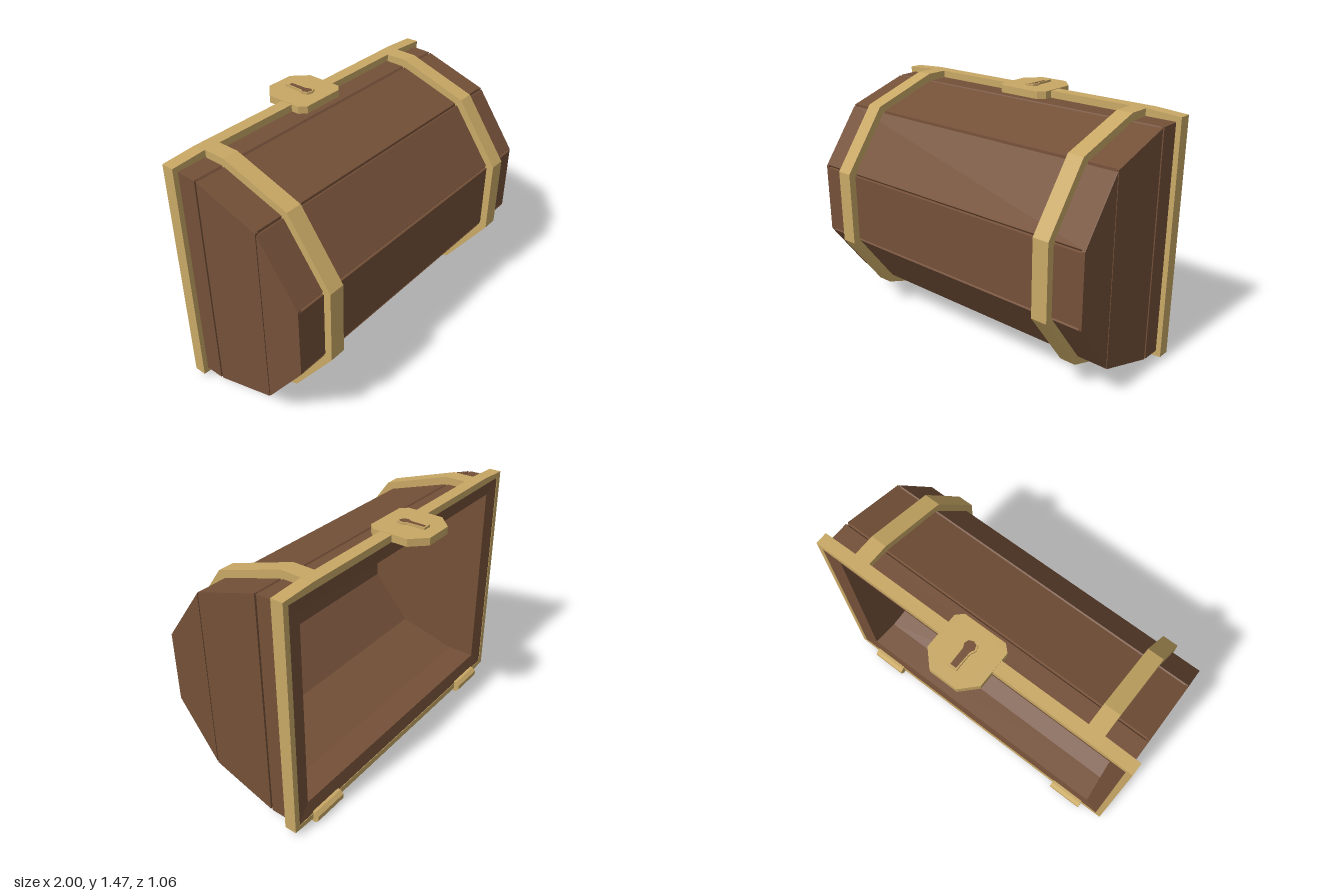
import * as THREE from 'three';

const wood = new THREE.MeshStandardMaterial({ color: 0x745038, side: THREE.DoubleSide });
wood.name = 'brown wood';
const brass = new THREE.MeshStandardMaterial({ color: 0xc8a865 });
brass.name = 'brass';

// Outlines in the side plane as [z, y], from the top rim round the front to the bottom rim
const woodLine = [[-0.3, 1.414], [-0.157, 1.412], [0.238, 1.287], [0.487, 0.948],
  [0.487, 0.532], [0.238, 0.193], [-0.157, 0.066], [-0.3, 0.064]];
const strapLine = [[-0.29, 1.457], [-0.15, 1.457], [0.267, 1.322], [0.53, 0.961],
  [0.53, 0.517], [0.267, 0.158], [-0.15, 0.021], [-0.29, 0.021]];
const innerLine = [[-0.335, 1.33], [-0.17, 1.32], [0.19, 1.21], [0.43, 0.92],
  [0.43, 0.56], [0.19, 0.27], [-0.17, 0.16], [-0.335, 0.15]];
const innerHalf = [0.875, 0.86, 0.835, 0.825, 0.825, 0.835, 0.86, 0.875];

function add(parent, name, geometry, material) {
  const mesh = new THREE.Mesh(geometry, material);
  mesh.name = name;
  parent.add(mesh);
  return mesh;
}

// Flat-shaded surface from four-cornered faces
function quads(list) {
  const pos = [];
  for (const [a, b, c, d] of list) pos.push(...a, ...b, ...c, ...a, ...c, ...d);
  const g = new THREE.BufferGeometry();
  g.setAttribute('position', new THREE.Float32BufferAttribute(pos, 3));
  g.computeVertexNormals();
  return g;
}

// Side-plane outline [z, y] made solid between x0 and x1
function slab(points, x0, x1) {
  const shape = new THREE.Shape(points.map(([z, y]) => new THREE.Vector2(-z, y)));
  const g = new THREE.ExtrudeGeometry(shape, { depth: x1 - x0, bevelEnabled: false });
  return g.rotateY(Math.PI / 2).translate(x0, 0, 0);
}

// Top-plane outline [x, z] made solid between y0 and y1
function plate(points, y0, y1, hole) {
  const toShape = (list, Type) => new Type(list.map(([x, z]) => new THREE.Vector2(x, -z)));
  const shape = toShape(points, THREE.Shape);
  if (hole) shape.holes.push(toShape(hole, THREE.Path));
  const g = new THREE.ExtrudeGeometry(shape, { depth: y1 - y0, bevelEnabled: false });
  return g.rotateX(-Math.PI / 2).translate(0, y0, 0);
}

// Replace every bend by a small V groove between planks
function grooved(line) {
  const out = [line[0]];
  for (let i = 1; i < line.length - 1; i++) {
    const p = new THREE.Vector2(...line[i]);
    const a = new THREE.Vector2(...line[i - 1]).sub(p).setLength(0.009);
    const b = new THREE.Vector2(...line[i + 1]).sub(p).setLength(0.009);
    const inward = new THREE.Vector2(-0.1, 0.74).sub(p).setLength(0.014);
    for (const o of [a, inward, b]) out.push([p.x + o.x, p.y + o.y]);
  }
  out.push(line[line.length - 1]);
  return out;
}

// Keyhole outline, grown by g
function keyhole(g) {
  const pts = [];
  for (let i = 0; i <= 6; i++) {
    const a = THREE.MathUtils.degToRad(-50 + i * 280 / 6);
    pts.push([(0.033 + g) * Math.cos(a), -0.319 + (0.033 + g) * Math.sin(a)]);
  }
  pts.push([-0.018 - g, -0.449 - g], [0.018 + g, -0.449 - g]);
  return pts;
}

export function createModel() {
  const lid = new THREE.Group();
  lid.name = 'chestLid';

  // Outer planks
  const line = grooved(woodLine);
  const outer = [];
  for (let i = 0; i < line.length - 1; i++) {
    const [z0, y0] = line[i], [z1, y1] = line[i + 1];
    outer.push([[-0.965, y0, z0], [-0.965, y1, z1], [0.965, y1, z1], [0.965, y0, z0]]);
  }
  add(lid, 'outerPlanks', quads(outer), wood);

  // End walls: a backing with three upright boards
  const w = woodLine, gap = 0.006;
  const boards = [
    [[-0.3, w[0][1]], [w[1][0] - gap, w[1][1]], [w[6][0] - gap, w[6][1]], [-0.3, w[7][1]]],
    [[w[1][0] + gap, w[1][1] - 0.002], [w[2][0] - gap / 2, w[2][1]], [w[5][0] - gap / 2, w[5][1]], [w[6][0] + gap, w[6][1] + 0.002]],
    [[w[2][0] + gap / 2, w[2][1] - 0.008], [w[3][0] - 0.002, w[3][1]], [w[4][0] - 0.002, w[4][1]], [w[5][0] + gap / 2, w[5][1] + 0.008]],
  ];
  for (const s of [-1, 1]) {
    const end = new THREE.Group();
    end.name = s > 0 ? 'leftEnd' : 'rightEnd';
    lid.add(end);
    const span = (a, b) => (s > 0 ? [a, b] : [-b, -a]);
    const backing = w.map(([z, y]) => [z > 0 ? z - 0.012 : z, 0.74 + (y - 0.74) * 0.98]);
    add(end, 'endBacking', slab(backing, ...span(0.945, 0.958)), wood);
    for (const b of boards) add(end, 'endBoard', slab(b, ...span(0.95, 0.97)), wood);
  }

  // Hollow inside, with a sloping lip meeting the frame
  const inside = [];
  const at = (i, s) => [s * innerHalf[i], innerLine[i][1], innerLine[i][0]];
  for (let i = 0; i < 7; i++) inside.push([at(i, -1), at(i, 1), at(i + 1, 1), at(i + 1, -1)]);
  for (const s of [-1, 1]) {
    for (let i = 0; i < 3; i++) inside.push([at(i, s), at(i + 1, s), at(6 - i, s), at(7 - i, s)]);
  }
  add(lid, 'insideWalls', quads(inside), wood);
  const rim = [[-0.965, 1.416, -0.349], [0.965, 1.416, -0.349], [0.965, 0.061, -0.349], [-0.965, 0.061, -0.349]];
  const lip = [at(0, -1), at(0, 1), at(7, 1), at(7, -1)];
  add(lid, 'innerLip', quads(rim.map((p, i) => [p, rim[(i + 1) % 4], lip[(i + 1) % 4], lip[i]])), wood);

  // Brass frame round the open side
  const frame = new THREE.Shape([[-1, 0.034], [-0.8, 0.021], [0.8, 0.021], [1, 0.034],
    [1, 1.445], [0.8, 1.457], [-0.8, 1.457], [-1, 1.445]].map((p) => new THREE.Vector2(...p)));
  frame.holes.push(new THREE.Path(rim.map(([x, y]) => new THREE.Vector2(x, y))));
  add(lid, 'rimFrame', new THREE.ExtrudeGeometry(frame, { depth: 0.073, bevelEnabled: false })
    .translate(0, 0, -0.352), brass);

  // Straps and hinge knuckles
  const strapOutline = [...strapLine,
    ...woodLine.map(([z, y]) => [z - (z > 0 ? 0.015 : 0), 0.74 + (y - 0.74) * 0.98]).reverse()];
  for (const s of [-1, 1]) {
    const x = s * 0.742;
    add(lid, s > 0 ? 'leftStrap' : 'rightStrap', slab(strapOutline, x - 0.048, x + 0.048), brass);
    const knuckle = new THREE.CylinderGeometry(0.038, 0.038, 0.222, 8).toNonIndexed();
    knuckle.rotateX(0).rotateZ(Math.PI / 2).rotateX(Math.PI / 8);
    knuckle.computeVertexNormals();
    add(lid, s > 0 ? 'leftHinge' : 'rightHinge', knuckle, brass).position.set(x, 0.037, -0.351);
  }

  // Lock plate with keyhole
  add(lid, 'lockPlate', plate([[-0.168, -0.445], [-0.085, -0.53], [0.085, -0.53], [0.168, -0.445],
    [0.168, -0.232], [0.13, -0.195], [-0.13, -0.195], [-0.168, -0.232]], 1.417, 1.46), brass);
  add(lid, 'keyholeRim', plate(keyhole(0.009), 1.455, 1.473, keyhole(0)), brass);
  add(lid, 'keyhole', plate(keyhole(0.002), 1.458, 1.464), wood);

  return lid;
}
